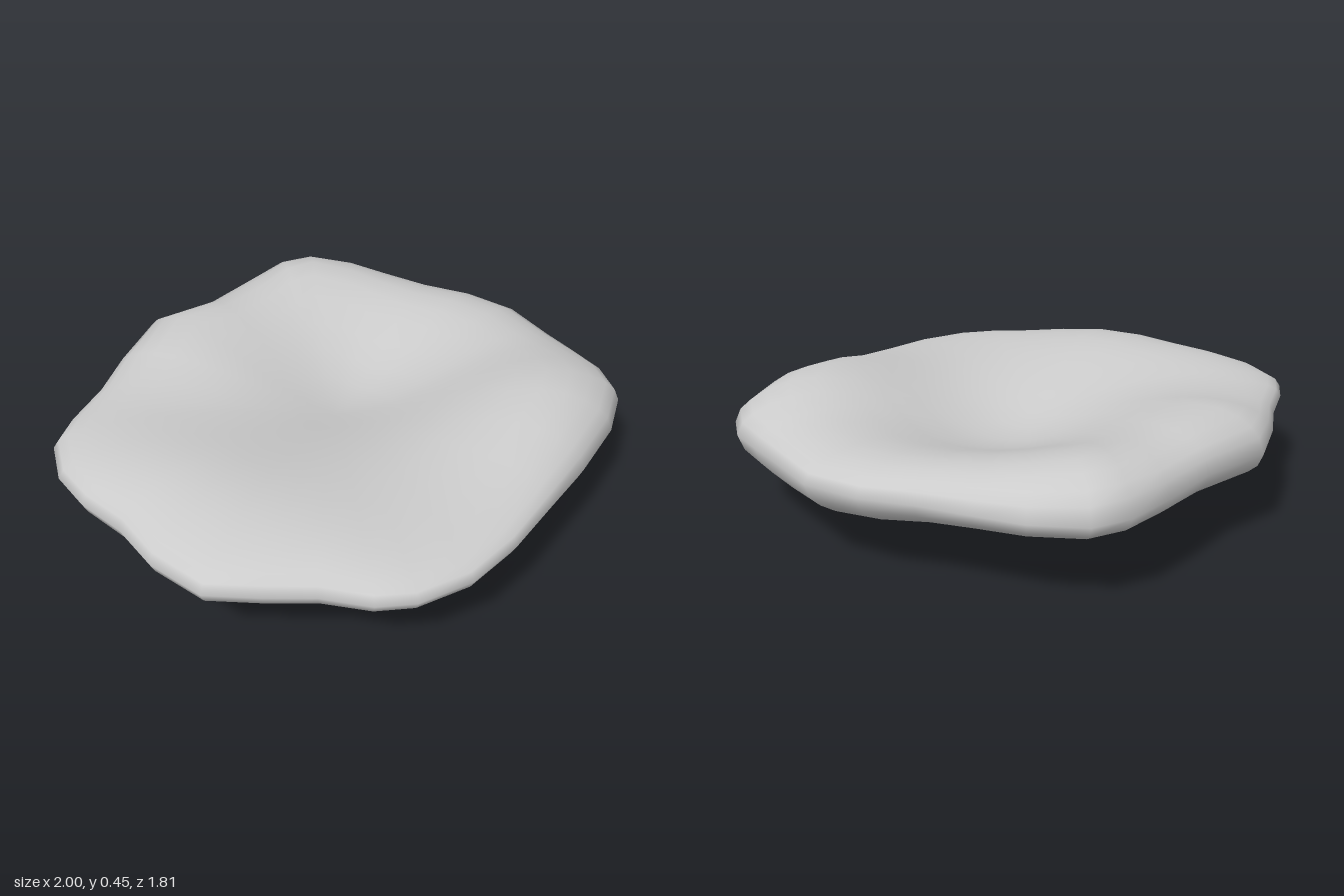
import * as THREE from 'three';

// Outline of the slab seen from above, as (x, z), running from the back round by +x
const OUTLINE = [
  [0, -0.91], [0.26, -0.83], [0.5, -0.81], [0.69, -0.78], [0.81, -0.71], [0.89, -0.54], [0.92, -0.37], [0.95, -0.18],
  [1, 0], [1, 0.21], [0.91, 0.42], [0.85, 0.57], [0.79, 0.71], [0.69, 0.82], [0.5, 0.88], [0.24, 0.9],
  [0, 0.9], [-0.24, 0.9], [-0.46, 0.87], [-0.64, 0.78], [-0.73, 0.68], [-0.8, 0.52], [-0.9, 0.38], [-1, 0.22],
  [-0.99, 0], [-0.93, -0.19], [-0.91, -0.38], [-0.86, -0.54], [-0.75, -0.68], [-0.63, -0.73], [-0.43, -0.78], [-0.24, -0.85],
];
const RIM = 0.295;

// Swells and hollows: [x, z, width in x, width in z, height]
const TOP = [
  [0.4, 0.67, 0.3, 0.25, 0.11], [0.03, -0.78, 0.2, 0.25, 0.09], [0.65, -0.67, 0.22, 0.24, 0.09],
  [-0.68, -0.02, 0.22, 0.4, 0.055], [0.82, -0.1, 0.2, 0.35, 0.035], [0.22, -0.02, 0.27, 0.25, -0.11],
];
const BOTTOM = [
  [0.05, -0.22, 0.25, 0.3, -0.168], [0.52, 0.32, 0.32, 0.32, -0.138],
  [-0.72, -0.05, 0.25, 0.35, -0.025], [-0.35, 0.45, 0.2, 0.2, 0.02],
];

const swell = (list, x, z) => list.reduce((sum, [cx, cz, sx, sz, h]) =>
  sum + h * Math.exp(-((x - cx) ** 2) / (2 * sx * sx) - ((z - cz) ** 2) / (2 * sz * sz)), 0);

// Height at a point, easing from the full surface to the rim as t nears 1
function height(x, z, t, upper) {
  const full = upper ? 0.358 + swell(TOP, x, z) : 0.183 + swell(BOTTOM, x, z);
  return RIM + (full - RIM) * Math.sqrt(1 - t ** (upper ? 8 : 6));
}

function stoneGeometry() {
  const pos = [], index = [], n = OUTLINE.length;
  const steps = [0.12, 0.25, 0.38, 0.5, 0.62, 0.73, 0.82, 0.89, 0.945, 0.98];
  // Rings run from the top centre out over the rim and back to the bottom centre
  const rings = [
    ...steps.map((t) => [t, true]), [1, true],
    ...steps.slice().reverse().map((t) => [t, false]),
  ];
  for (const [t, upper] of rings)
    for (const [ox, oz] of OUTLINE) pos.push(ox * t, height(ox * t, oz * t, t, upper), oz * t);
  const topCentre = pos.length / 3, bottomCentre = topCentre + 1;
  pos.push(0, height(0, 0, 0, true), 0, 0, height(0, 0, 0, false), 0);

  const last = (rings.length - 1) * n;
  for (let i = 0; i < n; i++) {
    const j = (i + 1) % n;
    index.push(topCentre, j, i, bottomCentre, last + i, last + j);
    for (let r = 0; r < rings.length - 1; r++) {
      const a = r * n + i, b = r * n + j;
      index.push(a, b, b + n, a, b + n, a + n);
    }
  }
  const geo = new THREE.BufferGeometry();
  geo.setAttribute('position', new THREE.Float32BufferAttribute(pos, 3));
  geo.setIndex(index);
  geo.computeVertexNormals();
  // Rest the lowest point on the ground
  geo.computeBoundingBox();
  geo.translate(0, -geo.boundingBox.min.y, 0);
  return geo;
}

export function createModel() {
  const group = new THREE.Group();
  group.name = 'flatStone';
  const stone = new THREE.Mesh(stoneGeometry(), new THREE.MeshStandardMaterial({ color: 0xcccccc }));
  stone.name = 'stoneSlab';
  group.add(stone);
  return group;
}
